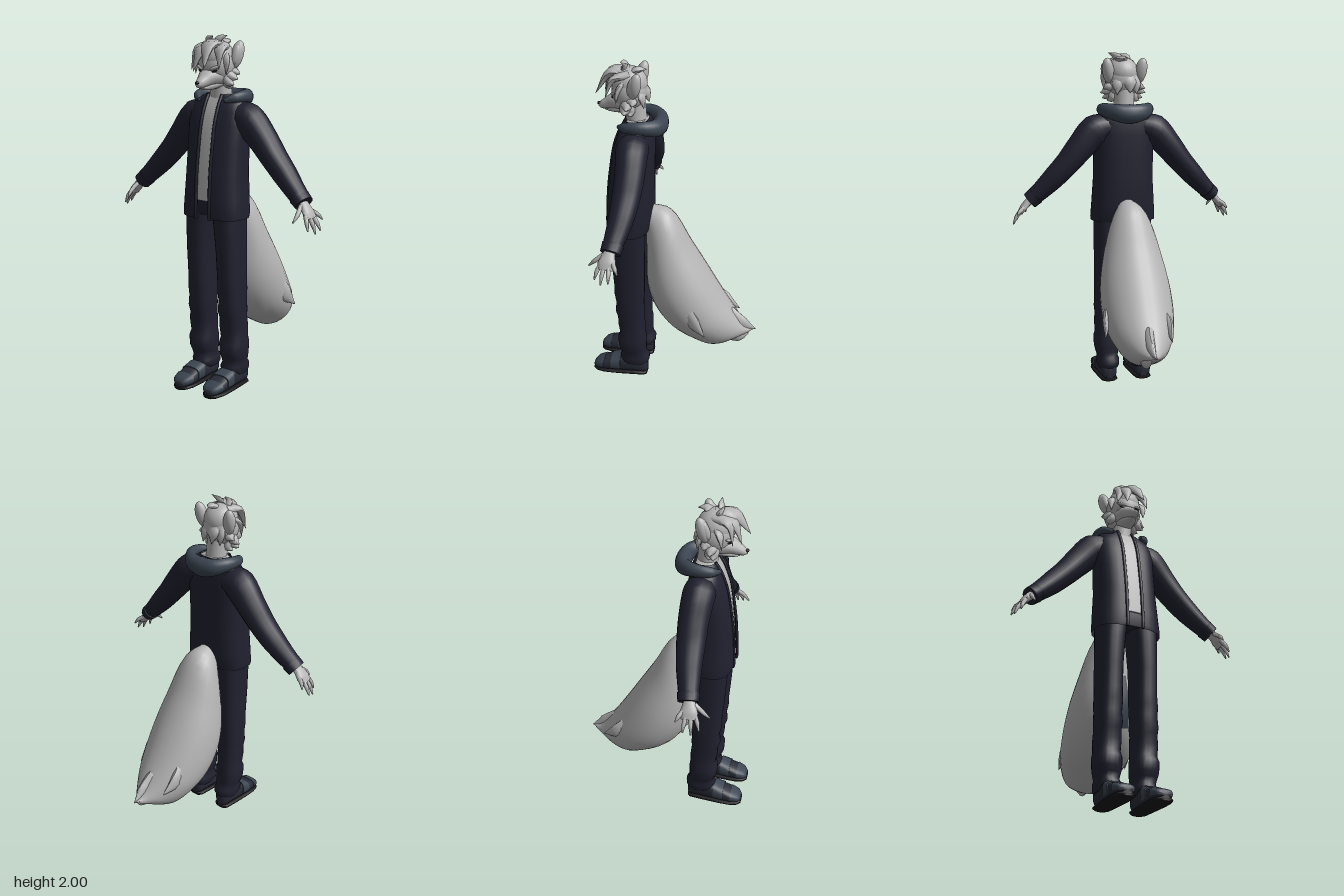
import * as THREE from 'three';
import { toCreasedNormals } from 'three/addons/utils/BufferGeometryUtils.js';

const V = (x, y, z) => new THREE.Vector3(x, y, z);
const pow = (v, p) => Math.sign(v) * Math.abs(v) ** p;

// Skin a list of rings; closed rings can have end caps
function loft(rings, closed = true, caps = closed) {
  const n = rings[0].length, pos = [], idx = [];
  rings.forEach(r => r.forEach(p => pos.push(p.x, p.y, p.z)));
  for (let i = 0; i < rings.length - 1; i++)
    for (let j = 0; j < (closed ? n : n - 1); j++) {
      const k = (j + 1) % n, a = i * n + j, b = i * n + k;
      idx.push(a, b, b + n, a, b + n, a + n);
    }
  if (caps) [0, rings.length - 1].forEach(i => {
    const c = V(0, 0, 0);
    rings[i].forEach(p => c.addScaledVector(p, 1 / n));
    const m = pos.length / 3;
    pos.push(c.x, c.y, c.z);
    for (let j = 0; j < n; j++) {
      const a = i * n + j, b = i * n + (j + 1) % n;
      if (i) idx.push(m, a, b); else idx.push(m, b, a);
    }
  });
  const g = new THREE.BufferGeometry();
  g.setAttribute('position', new THREE.Float32BufferAttribute(pos, 3));
  g.setIndex(idx);
  return toCreasedNormals(g, 1.0);
}

// Tapered tube with an elliptical section; radii are [along up, across]
function sweep(pts, radii, up = V(0, 0, 1), n = 14) {
  const curve = new THREE.CatmullRomCurve3(pts), last = pts.length - 1, steps = last * 4, rings = [];
  for (let i = 0; i <= steps; i++) {
    const t = i / steps, f = t * last, k = Math.min(Math.floor(f), last - 1);
    const [a, b] = [0, 1].map(q => THREE.MathUtils.lerp(radii[k][q], radii[k + 1][q], f - k));
    const c = curve.getPoint(t), T = curve.getTangent(t);
    const u = up.clone().addScaledVector(T, -up.dot(T)).normalize(), v = T.clone().cross(u);
    rings.push(Array.from({ length: n }, (_, j) => {
      const w = j / n * Math.PI * 2;
      return c.clone().addScaledVector(u, a * Math.cos(w)).addScaledVector(v, b * Math.sin(w));
    }));
  }
  return loft(rings);
}

// Horizontal ring; a gap leaves it open at the front
function flatRing([y, cx, rx, zf, zb], p = 0.8, gap = 0, n = 32) {
  const a0 = gap ? Math.asin(Math.min(1, (gap / rx) ** (1 / p))) : 0;
  return Array.from({ length: n }, (_, j) => {
    const a = gap ? a0 + (2 * Math.PI - 2 * a0) * j / (n - 1) : j / n * Math.PI * 2;
    return V(cx + rx * pow(Math.sin(a), p), y, (zf + zb) / 2 + (zf - zb) / 2 * pow(Math.cos(a), p));
  });
}

export function createModel() {
  const model = new THREE.Group();
  const mat = (name, color) => {
    const m = new THREE.MeshStandardMaterial({ color, side: THREE.DoubleSide });
    m.name = name;
    return m;
  };
  const fur = mat('grey fur', 0xb4b4b4), navy = mat('navy cloth', 0x212130);
  const slate = mat('slate cloth', 0x3b4551), black = mat('black', 0x17171c);
  const shoeMat = mat('shoe leather', 0x282b36);
  const add = (name, geo, m) => {
    const mesh = new THREE.Mesh(geo, m);
    mesh.name = name;
    model.add(mesh);
    return mesh;
  };
  const ball = (name, m, p, s) => {
    const b = add(name, new THREE.SphereGeometry(1, 24, 16), m);
    b.position.set(...p);
    b.scale.set(...s);
    return b;
  };
  const path = (list, s = 1) => list.map(([x, y, z]) => V(x * s, y, z));

  // Open jacket, shirt beneath it and trouser waist
  const coat = [[1.0, 0, .195, .395, .145], [1.02, 0, .196, .398, .138], [1.1, 0, .19, .395, .13], [1.25, 0, .18, .385, .127],
    [1.4, 0, .18, .365, .125], [1.52, 0, .183, .343, .125], [1.59, 0, .18, .32, .127], [1.64, 0, .16, .297, .135], [1.68, 0, .09, .275, .15]];
  const coatRings = coat.map(r => flatRing(r, 0.75, 0.047));
  add('jacket', loft(coatRings, false), navy);
  add('shirt', loft(coat.slice(2).map(([y, x, rx, f, b]) => flatRing([y, x, rx - .015, f - .012, b + .012], 0.75))), fur);
  add('waist', loft([[1.02, 0, .165, .365, .165], [1.06, 0, .172, .372, .16], [1.105, 0, .172, .372, .16]].map(r => flatRing(r))), navy);
  for (const side of [0, 31])
    add('jacketEdge', sweep(coatRings.map(r => r[side].clone()), coat.map(() => [.01, .008]), V(1, 0, 0), 8), navy);

  // Hood lying around the neck
  add('hood', sweep(path([[.085, 1.65, .305], [.13, 1.665, .26], [.135, 1.67, .17], [.08, 1.655, .10], [0, 1.645, .085],
    [-.08, 1.655, .10], [-.135, 1.67, .17], [-.13, 1.665, .26], [-.085, 1.65, .305]]),
  [[.01, .01], [.03, .025], [.038, .032], [.05, .04], [.058, .045], [.05, .04], [.038, .032], [.03, .025], [.01, .01]], V(0, 1, 0)), slate);

  for (const s of [1, -1]) {
    // Sleeve and cuff
    add('sleeve', sweep(path([[.10, 1.57, .215], [.18, 1.545, .21], [.27, 1.45, .205], [.35, 1.355, .21], [.43, 1.27, .22],
      [.50, 1.20, .235], [.565, 1.14, .25]], s),
    [[.08, .075], [.092, .095], [.085, .083], [.08, .072], [.072, .066], [.062, .056], [.052, .048]]), navy);
    add('cuff', sweep(path([[.535, 1.165, .243], [.572, 1.133, .25]], s), [[.062, .054], [.058, .05]]), navy);

    // Hand
    add('palm', sweep(path([[.545, 1.155, .25], [.58, 1.125, .257], [.61, 1.09, .262], [.63, 1.06, .265]], s),
      [[.03, .026], [.035, .022], [.05, .02], [.042, .014]]), fur);
    const fingers = [[[.575, 1.125, .285], [.585, 1.085, .335], [.58, 1.05, .37]], [[.61, 1.085, .295], [.632, 1.045, .315], [.645, 1.005, .325]],
      [[.62, 1.075, .275], [.648, 1.035, .282], [.668, .988, .287]], [[.62, 1.08, .25], [.652, 1.04, .246], [.673, 1.0, .244]],
      [[.61, 1.095, .23], [.638, 1.075, .212], [.655, 1.05, .198]]];
    fingers.forEach((f, i) => add(i ? 'finger' : 'thumb', sweep(path(f, s), [[.013, .013], [.012, .012], [.004, .004]], V(1, 0, .3), 8), fur));

    // Trouser leg with gentle folds
    const leg = [[.08, .105, .06, .30, .16], [.10, .104, .068, .325, .148], [.13, .104, .068, .327, .146], [.15, .107, .062, .315, .162],
      [.18, .108, .07, .322, .165], [.21, .109, .075, .336, .165], [.27, .11, .077, .338, .165], [.30, .109, .07, .324, .17], [.36, .109, .073, .333, .17],
      [.42, .108, .07, .335, .176], [.46, .107, .074, .348, .174], [.52, .107, .071, .342, .176], [.58, .106, .073, .352, .172],
      [.64, .105, .071, .352, .17], [.8, .104, .072, .363, .168], [.95, .098, .078, .37, .165], [1.06, .09, .085, .37, .162]];
    add('trouserLeg', loft(leg.map(([y, x, ...r]) => flatRing([y, x * s, ...r], 0.8, 0, 24))), navy);

    // Shoe: sections run from heel to toe as [z, half width, bottom, top]
    const shoe = (name, rows, m, grow = 0) => add(name, loft(rows.map(([z, w, lo, hi]) => Array.from({ length: 20 }, (_, j) => {
      const a = j / 20 * Math.PI * 2;
      return V(s * .107 + (w + grow) * pow(Math.cos(a), .7), (lo + hi) / 2 + ((hi - lo) / 2 + grow) * pow(Math.sin(a), .7), z);
    }))), m);
    const upper = [[.16, .03, .02, .10], [.175, .046, .015, .125], [.25, .053, .015, .135], [.31, .057, .015, .125], [.37, .06, .015, .105],
      [.43, .06, .015, .083], [.475, .048, .015, .066], [.497, .025, .02, .045]];
    shoe('shoe', upper, shoeMat);
    shoe('shoePanel', [[.325, .0577, .025, .12], [.385, .06, .025, .1]], slate, .004);
    shoe('toeCap', [[.432, .06, .025, .082], [.475, .048, .025, .066], [.492, .028, .025, .048]], slate, .003);
    shoe('sole', upper.map(([z, w]) => [z, w + .004, 0, .024]), black);

    // Ear with a shallow front hollow
    const ear = ball('ear', fur, [s * .1, 1.895, .205], [.036, .078, .034]);
    ear.rotation.set(-.15, s * .5, -s * .18);
    const hollow = ball('earHollow', fur, [s * .106, 1.895, .226], [.022, .055, .018]);
    hollow.rotation.copy(ear.rotation);

    // Cheek tufts, eye and brow
    [[.14, 1.765, .25], [.125, 1.735, .265], [.13, 1.79, .22], [.10, 1.72, .24]].forEach(t =>
      add('cheekTuft', sweep(path([[.05, 1.80, .26], [t[0] * .75, t[1] + .012, t[2]], t], s), [[.04, .04], [.028, .024], [.001, .001]], V(0, 0, 1), 8), fur));
    const eye = ball('eye', black, [s * .05, 1.81, .341], [.018, .006, .004]);
    eye.rotation.set(0, s * .4, s * .35);
    const brow = ball('brow', fur, [s * .05, 1.828, .338], [.032, .009, .012]);
    brow.rotation.set(0, s * .4, s * .35);
  }

  // Neck, skull and muzzle
  add('neck', loft([[1.58, 0, .075, .28, .15], [1.66, 0, .062, .275, .16], [1.8, 0, .06, .29, .17]].map(r => flatRing(r, 1))), fur);
  ball('head', fur, [0, 1.838, .255], [.105, .112, .1]);
  add('muzzle', sweep(path([[0, 1.785, .27], [0, 1.775, .33], [0, 1.757, .375], [0, 1.742, .415], [0, 1.74, .433]]),
    [[.06, .09], [.048, .065], [.035, .04], [.022, .024], [.007, .009]], V(0, 1, 0)), fur);
  add('jaw', sweep(path([[0, 1.75, .26], [0, 1.733, .32], [0, 1.722, .37], [0, 1.719, .395]]),
    [[.035, .06], [.028, .045], [.014, .024], [.003, .008]], V(0, 1, 0)), fur);
  ball('nose', black, [0, 1.75, .43], [.012, .009, .01]);

  // Hair: crown and swept, pointed locks (root, bend, tip, half width)
  ball('hairCrown', fur, [0, 1.88, .255], [.096, .095, .1]);
  const locks = [
    [[0, 1.945, .25], [.02, 1.945, .35], [.05, 1.825, .435], .06], [[-.03, 1.94, .25], [-.06, 1.93, .335], [-.09, 1.815, .365], .045],
    [[.04, 1.94, .25], [.08, 1.92, .33], [.10, 1.82, .37], .042], [[-.02, 1.94, .27], [-.03, 1.92, .355], [-.045, 1.81, .405], .05],
    [[0, 1.94, .28], [.035, 1.98, .275], [.085, 2.0, .27], .03], [[-.01, 1.94, .26], [-.03, 1.975, .285], [.01, 1.995, .3], .03],
    [[0, 1.93, .25], [.02, 1.965, .2], [.01, 1.965, .155], .04], [[0, 1.87, .2], [-.02, 1.82, .165], [-.02, 1.765, .15], .05],
    [[.03, 1.86, .2], [.05, 1.81, .175], [.055, 1.755, .165], .04], [[-.04, 1.86, .2], [-.06, 1.81, .18], [-.065, 1.76, .17], .04],
    [[-.06, 1.9, .27], [-.1, 1.86, .3], [-.105, 1.79, .31], .03], [[.06, 1.9, .27], [.1, 1.86, .3], [.105, 1.79, .31], .03]];
  for (const [a, b, c, w] of locks)
    add('hairLock', sweep(path([a, b, c]), [[w * .9, w * .6], [w * .85, w * .45], [.001, .001]], V(1, 0, .2), 10), fur);

  // Bushy tail: spines of the upper side (x holds half width) and the underside
  const top = new THREE.CatmullRomCurve3(path([[.06, 1.14, .15], [.125, 1.11, .03], [.185, .89, -.10], [.21, .73, -.195], [.205, .57, -.29],
    [.175, .47, -.355], [.115, .385, -.42], [.05, .35, -.46], [.002, .34, -.497]]));
  const low = new THREE.CatmullRomCurve3(path([[0, 1.0, .17], [0, .80, .17], [0, .62, .165], [0, .48, .12], [0, .36, .03],
    [0, .275, -.10], [0, .222, -.22], [0, .27, -.37], [0, .337, -.495]]));
  const tailRings = (t0, t1, a0, a1, n, steps, grow) => Array.from({ length: steps + 1 }, (_, i) => {
    const t = t0 + (t1 - t0) * i / steps, p = top.getPoint(t), q = low.getPoint(t), w = p.x;
    p.x = 0;
    const c = p.clone().add(q).multiplyScalar(.5), h = p.sub(q).multiplyScalar(.5 * grow);
    return Array.from({ length: n }, (_, j) => {
      const a = a0 + (a1 - a0) * j / n;
      return c.clone().addScaledVector(h, Math.cos(a)).add(V(w * grow * Math.sin(a), 0, 0));
    });
  });
  add('tail', loft(tailRings(0, 1, 0, Math.PI * 2, 28, 32, 1)), fur);
  add('tailPatch', loft(tailRings(.125, .355, 2.75, 3.53, 8, 10, 1.02), false), slate);
  [[[.13, .58, -.06], [.195, .47, -.14], [.222, .39, -.215]], [[-.10, .5, -.2], [-.135, .44, -.29], [-.125, .39, -.385]],
    [[0, .42, -.32], [.01, .365, -.42], [0, .335, -.5]], [[.03, .34, -.3], [.03, .3, -.4], [.015, .31, -.46]]].forEach(t =>
    add('tailTuft', sweep(path(t), [[.07, .04], [.05, .025], [.001, .001]], V(0, 1, 0), 10), fur));

  return model;
}
